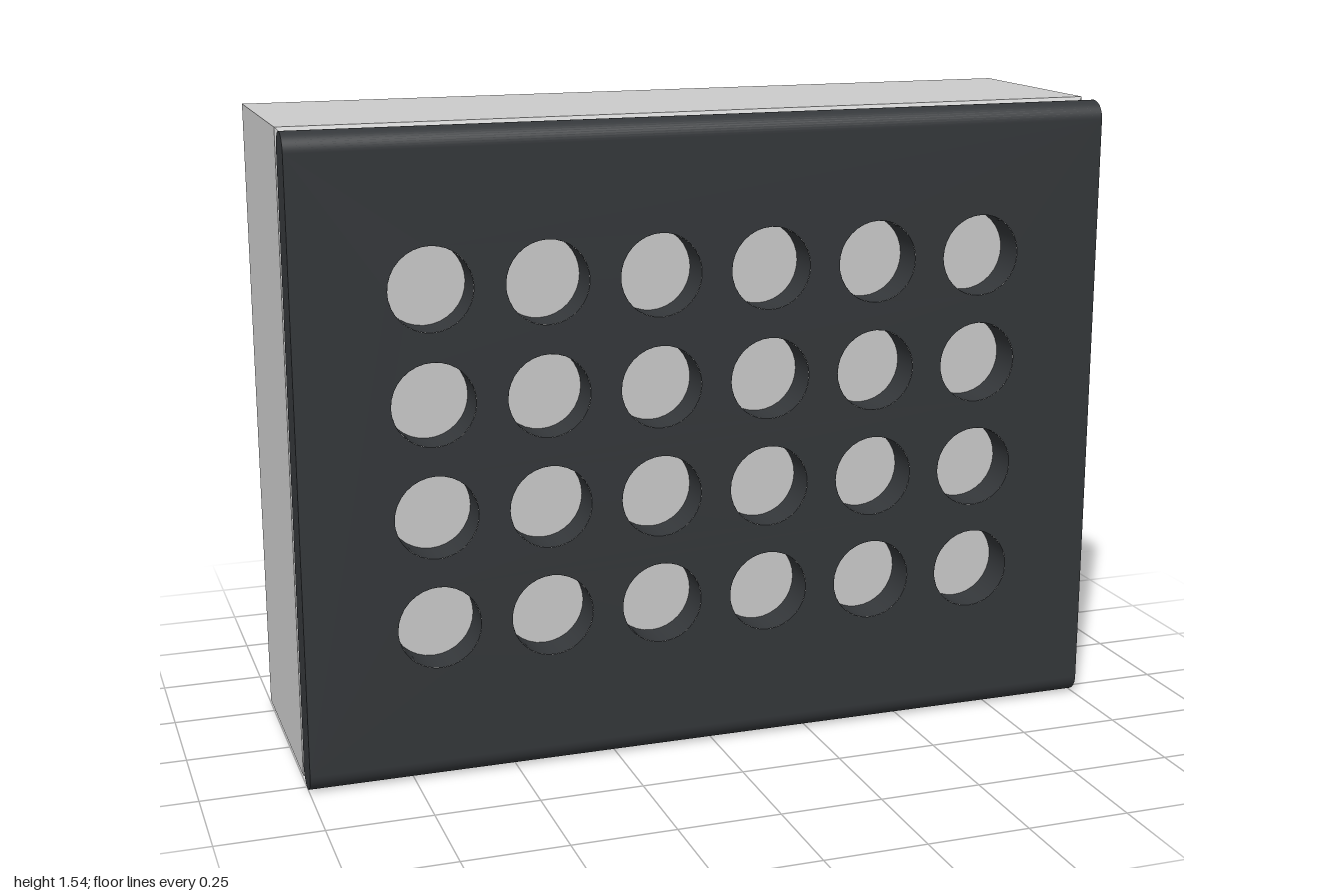
import * as THREE from 'three';
import { ConvexGeometry } from 'three/addons/geometries/ConvexGeometry.js';

const FRONT = 0.305, BACK = 0.217;       // z of the panel's two skins
const R = (FRONT - BACK) / 2;            // radius of the top edge
const RB = 0.047;                        // slightly fatter bottom edge
const TOP = 1.541 - R, BOTTOM = RB;      // heights of the edge centres
const HOLE = 0.099, SEG = 32;

export function createModel() {
  const model = new THREE.Group();
  const grey = new THREE.MeshStandardMaterial({ color: 0xcccccc });
  const dark = new THREE.MeshStandardMaterial({ color: 0x34373a });
  const darkThin = new THREE.MeshStandardMaterial({ color: 0x34373a, side: THREE.DoubleSide });

  const add = (parent, name, geometry, material) => {
    const mesh = new THREE.Mesh(geometry, material);
    mesh.name = name;
    parent.add(mesh);
    return mesh;
  };

  // Housing: a box whose front edges are chamfered
  const corners = [];
  for (const [z, inset] of [[-0.305, 0], [0.2, 0], [0.218, 0.02]])
    for (const x of [-1 + inset, 1 - inset])
      for (const y of [0.008 + inset, 1.543 - inset])
        corners.push(new THREE.Vector3(x, y, z));
  add(model, 'housing', new ConvexGeometry(corners), grey);

  const panel = new THREE.Group();
  panel.name = 'frontPanel';
  model.add(panel);

  // Perforation grid
  const centres = [];
  for (let row = 0; row < 4; row++)
    for (let col = 0; col < 6; col++)
      centres.push([(col - 2.5) * 0.273, 0.378 + row * 0.267]);

  // Front and back skins with holes
  const skin = new THREE.Shape([
    new THREE.Vector2(-1, BOTTOM), new THREE.Vector2(1, BOTTOM),
    new THREE.Vector2(1, TOP), new THREE.Vector2(-1, TOP),
  ]);
  for (const [x, y] of centres)
    skin.holes.push(new THREE.Path().absarc(x, y, HOLE, 0, Math.PI * 2, true));
  add(panel, 'frontSkin', new THREE.ShapeGeometry(skin, SEG).translate(0, 0, FRONT), dark);
  add(panel, 'backSkin', new THREE.ShapeGeometry(skin, SEG).rotateY(Math.PI).translate(0, 0, BACK), dark);

  // Hole walls, each with a narrow slit on one side
  const step = Math.PI * 2 / SEG;
  const wall = new THREE.CylinderGeometry(HOLE, HOLE, FRONT - BACK, SEG - 1, 1, true,
    Math.PI * 1.5 + step, Math.PI * 2 - step).rotateX(Math.PI / 2);
  for (const [x, y] of centres)
    add(panel, 'holeWall', wall, darkThin).position.set(x, y, (FRONT + BACK) / 2);

  // Rounded top and bottom edges
  const edge = (name, r, y, start, length) =>
    add(panel, name, new THREE.CylinderGeometry(r, r, 2, 24, 1, true, start, length)
      .rotateZ(Math.PI / 2), dark).position.set(0, y, FRONT - r);
  edge('topEdge', R, TOP, 0, Math.PI);
  edge('bottomEdge', RB, BOTTOM, Math.PI - 0.5, Math.PI + 0.5);

  // End caps following the panel's section
  const section = new THREE.Shape();
  section.moveTo(-FRONT, BOTTOM);
  section.absarc(-FRONT + RB, BOTTOM, RB, Math.PI, Math.PI * 2 + 0.5, false);
  section.lineTo(-BACK, TOP);
  section.absarc(-FRONT + R, TOP, R, 0, Math.PI, false);
  const cap = new THREE.ShapeGeometry(section, 24).rotateY(Math.PI / 2);
  for (const x of [-1, 1]) add(panel, 'endCap', cap, darkThin).position.x = x;

  return model;
}
